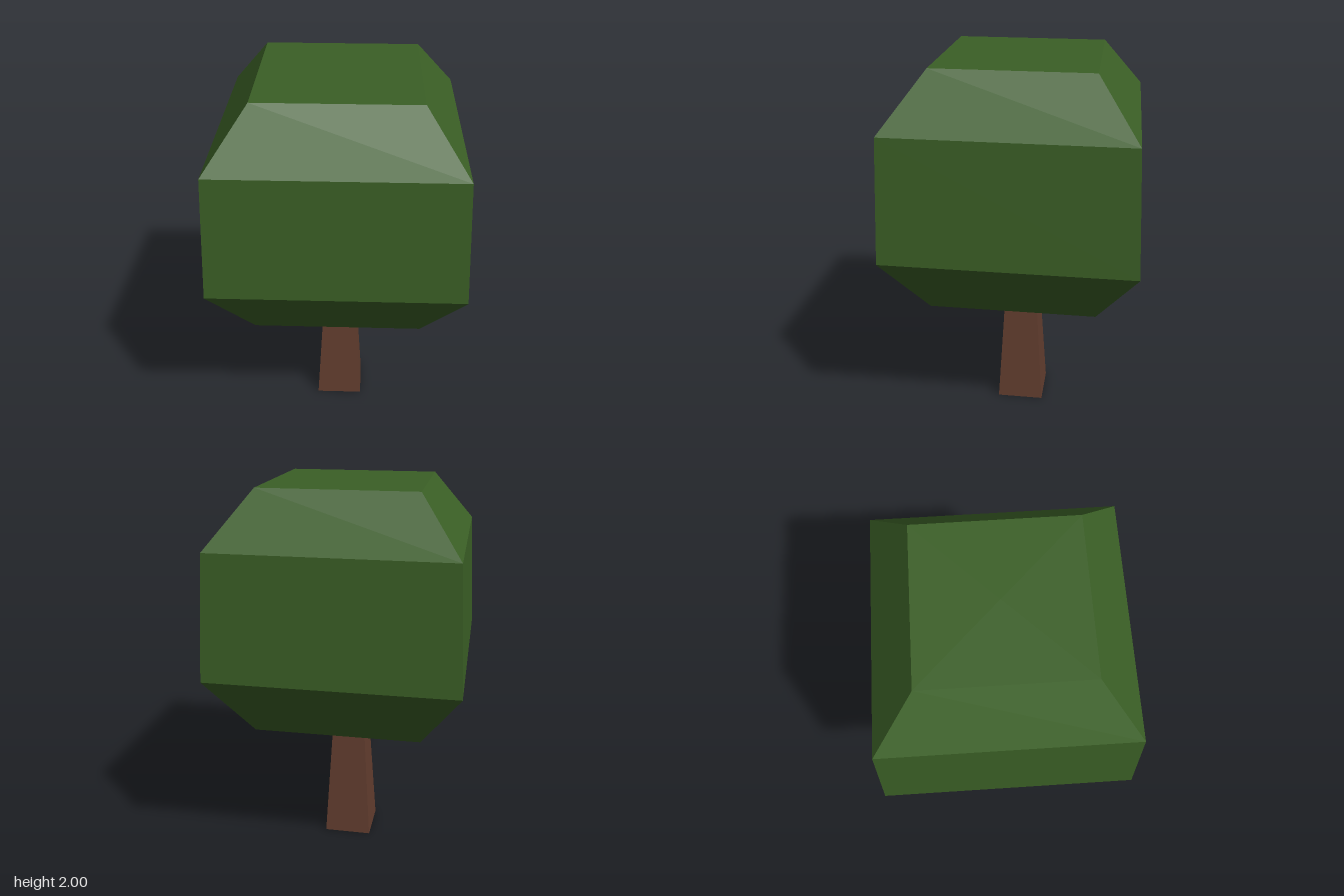
import * as THREE from 'three';

const bark = new THREE.MeshStandardMaterial({ color: 0x653f30, flatShading: true, side: THREE.DoubleSide });
bark.name = 'bark brown';
const leaf = new THREE.MeshStandardMaterial({ color: 0x3b6026, flatShading: true });
leaf.name = 'leaf green';

// Square-section solid from [half width, height] pairs, bottom to top
function squareLathe(name, profile, material) {
  const points = profile.map(([half, y]) => new THREE.Vector2(half * Math.SQRT2, y));
  const mesh = new THREE.Mesh(new THREE.LatheGeometry(points, 4, Math.PI / 4), material);
  mesh.name = name;
  return mesh;
}

export function createModel() {
  const tree = new THREE.Group();
  tree.name = 'tree';

  // Tapered trunk, open at both ends
  tree.add(squareLathe('trunk', [[0.127, 0], [0.085, 0.7]], bark));

  // Faceted crown, growing out of the top of the trunk and closed by a flat top
  tree.add(squareLathe('crown', [
    [0.085, 0.7], [0.43, 0.76], [0.635, 1.09], [0.603, 1.725], [0.395, 2], [0, 2],
  ], leaf));

  return tree;
}
